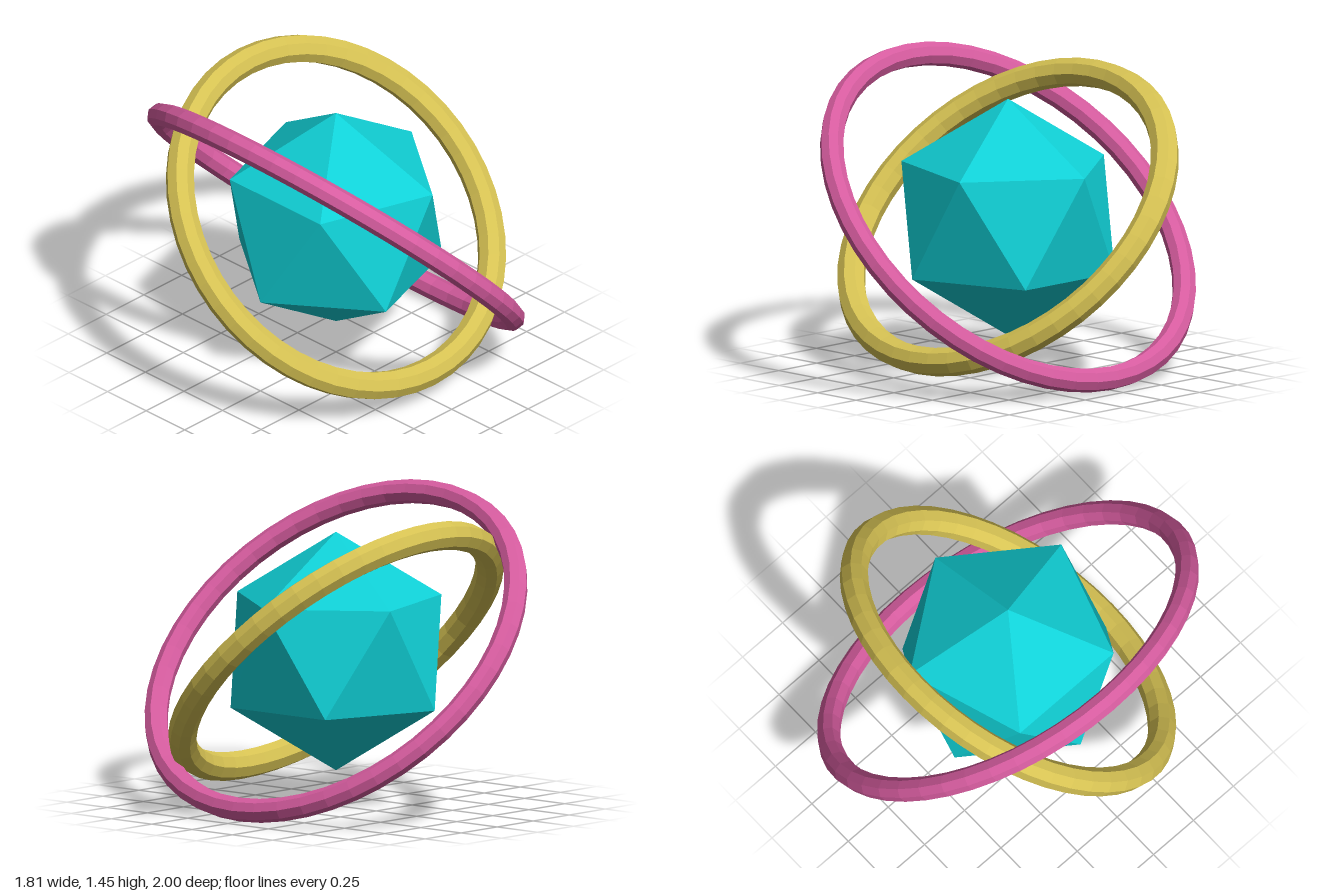
import * as THREE from 'three';
import { ConvexGeometry } from 'three/addons/geometries/ConvexGeometry.js';

const CENTRE_Y = 0.724;

function material(name, color) {
  const m = new THREE.MeshStandardMaterial({ color, flatShading: true });
  m.name = name;
  return m;
}

// Icosahedron standing on a vertex: two poles and two staggered rings of five
function crystalGeometry(radius) {
  const points = [new THREE.Vector3(0, radius, 0), new THREE.Vector3(0, -radius, 0)];
  const ringY = radius / Math.sqrt(5);
  const ringR = 2 * ringY;
  for (let i = 0; i < 5; i++) {
    const a = (i * Math.PI * 2) / 5;
    const x = ringR * Math.cos(a);
    const z = ringR * Math.sin(a);
    points.push(new THREE.Vector3(x, ringY, z), new THREE.Vector3(-x, -ringY, -z));
  }
  return new ConvexGeometry(points);
}

export function createModel() {
  const group = new THREE.Group();
  const add = (name, geometry, mat) => {
    const mesh = new THREE.Mesh(geometry, mat);
    mesh.name = name;
    mesh.position.y = CENTRE_Y;
    group.add(mesh);
  };

  // Faceted core
  add('crystal', crystalGeometry(0.558), material('turquoise', 0x10d0d6));

  // Inner ring, leaning backwards
  add('innerRing',
    new THREE.TorusGeometry(0.837, 0.067, 8, 48).rotateX(-Math.PI / 4),
    material('gold', 0xd6c253));

  // Outer ring, laid flat and then tipped down towards +x
  add('outerRing',
    new THREE.TorusGeometry(0.944, 0.056, 8, 48).rotateX(Math.PI / 2).rotateZ(-Math.PI / 4),
    material('pink', 0xd65c9f));

  return group;
}
